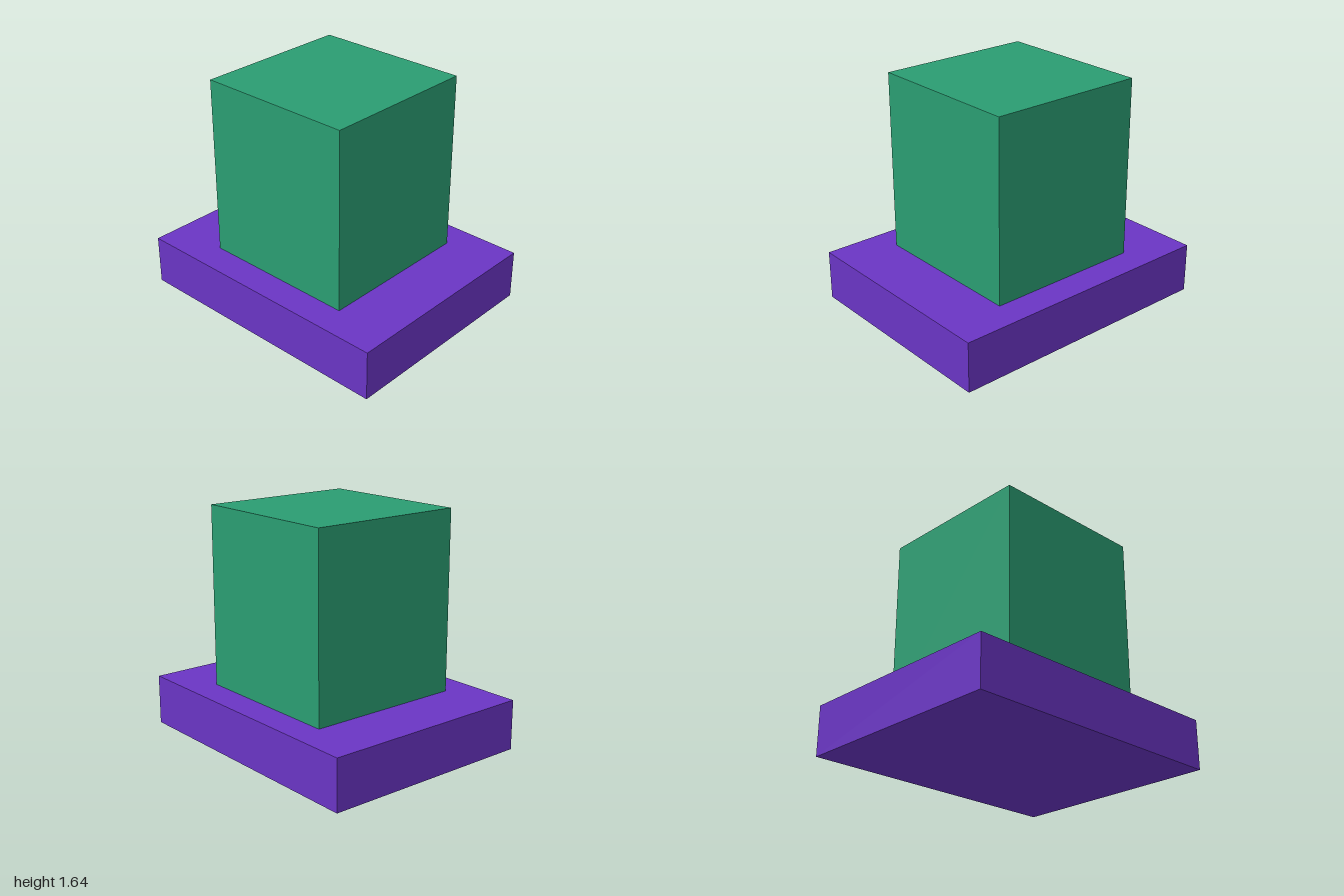
import * as THREE from 'three';

// Box whose underside sits at height y
function addBlock(group, name, color, w, h, d, y) {
  const mesh = new THREE.Mesh(
    new THREE.BoxGeometry(w, h, d),
    new THREE.MeshStandardMaterial({ color })
  );
  mesh.name = name;
  mesh.position.y = y + h / 2;
  group.add(mesh);
}

export function createModel() {
  const model = new THREE.Group();
  model.name = 'blockOnPlinth';
  const baseHeight = 0.357;

  // Wide low plinth
  addBlock(model, 'base', 0x6a35c4, 2, baseHeight, 1.571, 0);
  // Tall square block standing in the middle of it
  addBlock(model, 'block', 0x2a9d72, 1.143, 1.286, 1.143, baseHeight);

  return model;
}
